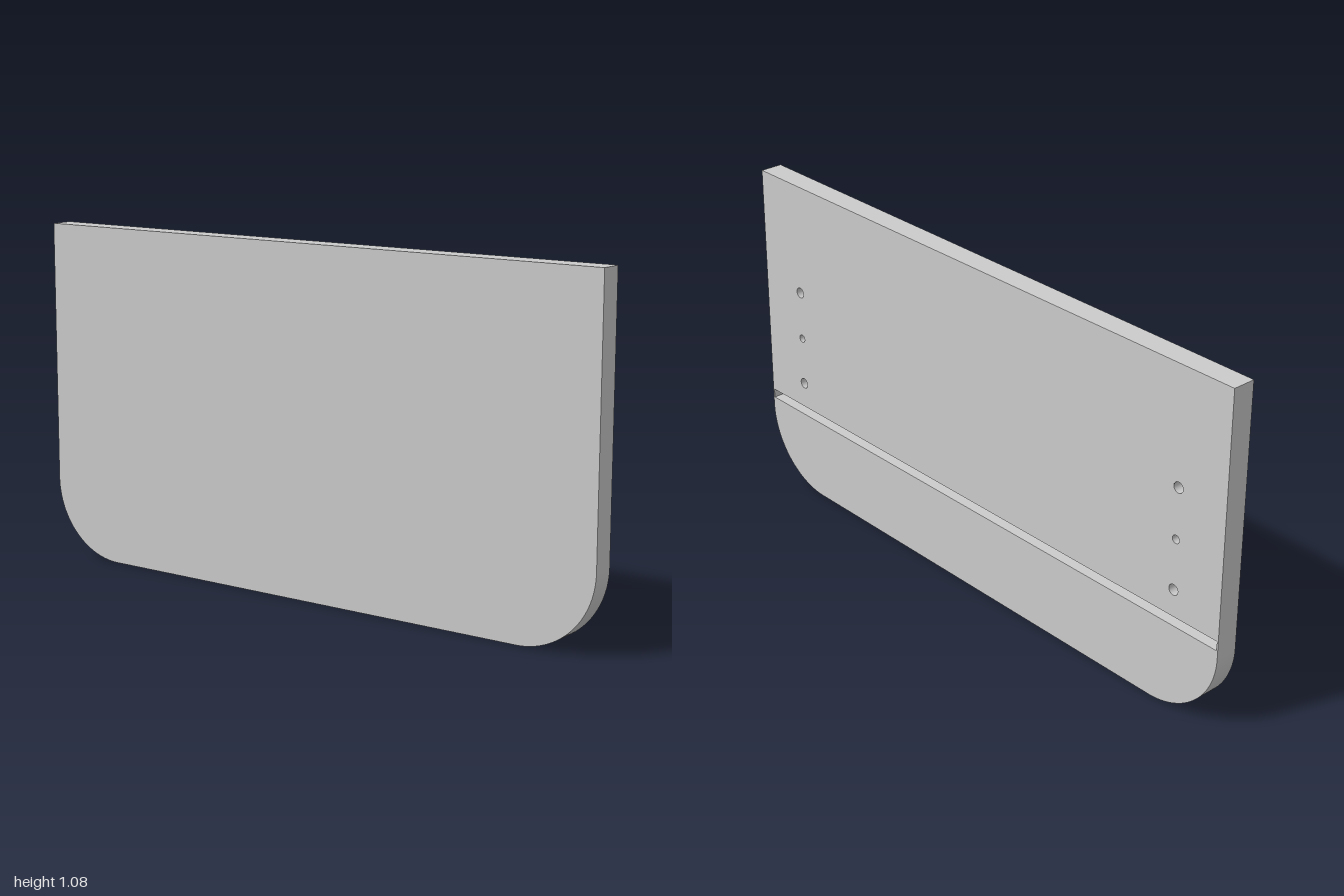
import * as THREE from 'three';
import { toCreasedNormals } from 'three/addons/utils/BufferGeometryUtils.js';

const H = 1.08, T = 0.073, R = 0.25;                          // panel height, thickness, corner radius
const groove = { y: 0.289, h: 0.03, w: 1.99, depth: 0.035 };
const holeDepth = 0.05;
const holes = [-1, 1].flatMap(s => [
  { x: 0.827 * s, y: 0.714, r: 0.017 },
  { x: 0.827 * s, y: 0.552, r: 0.013 },
  { x: 0.827 * s, y: 0.39, r: 0.017 },
]);

// Rectangle with rounded lower corners
function outline() {
  const s = new THREE.Shape();
  s.moveTo(-1 + R, 0);
  s.lineTo(1 - R, 0);
  s.absarc(1 - R, R, R, -Math.PI / 2, 0, false);
  s.lineTo(1, H);
  s.lineTo(-1, H);
  s.lineTo(-1, R);
  s.absarc(-1 + R, R, R, Math.PI, Math.PI * 1.5, false);
  return s;
}

export function createModel() {
  const group = new THREE.Group();
  const solid = new THREE.MeshStandardMaterial({ color: 0xcccccc });
  const inner = new THREE.MeshStandardMaterial({ color: 0xcccccc, side: THREE.DoubleSide });
  const add = (name, geometry, material = solid) => {
    const mesh = new THREE.Mesh(geometry, material);
    mesh.name = name;
    group.add(mesh);
    return mesh;
  };

  // Front face
  add('frontFace', new THREE.ShapeGeometry(outline(), 32).translate(0, 0, T / 2));

  // Edge band: the side walls of the extruded outline, without its caps
  const block = new THREE.ExtrudeGeometry(outline(), { depth: T, bevelEnabled: false, curveSegments: 32 });
  const { start, count } = block.groups[1];
  const edge = new THREE.BufferGeometry();
  const sides = block.attributes.position.array.slice(start * 3, (start + count) * 3);
  edge.setAttribute('position', new THREE.BufferAttribute(sides, 3));
  edge.translate(0, 0, -T / 2);
  add('edgeBand', toCreasedNormals(edge, 0.5));

  // Back face, pierced by the groove and the dowel holes (symmetric, so it can be turned round)
  const back = outline();
  const x = groove.w / 2, y0 = groove.y - groove.h / 2, y1 = groove.y + groove.h / 2;
  back.holes.push(new THREE.Path([[-x, y0], [-x, y1], [x, y1], [x, y0]].map(p => new THREE.Vector2(...p))));
  for (const h of holes) back.holes.push(new THREE.Path().absarc(h.x, h.y, h.r, 0, Math.PI * 2, true));
  add('backFace', new THREE.ShapeGeometry(back, 32).rotateY(Math.PI).translate(0, 0, -T / 2));

  // Groove: box interior with its rear side left open
  const slot = new THREE.BoxGeometry(groove.w, groove.h, groove.depth);
  slot.setIndex(Array.from(slot.index.array).slice(0, 30));
  slot.clearGroups();
  add('groove', slot, inner).position.set(0, groove.y, -T / 2 + groove.depth / 2);

  // Blind dowel holes: wall and floor
  for (const h of holes) {
    const wall = new THREE.CylinderGeometry(h.r, h.r, holeDepth, 32, 1, true).rotateX(Math.PI / 2);
    add('dowelHoleWall', wall, inner).position.set(h.x, h.y, -T / 2 + holeDepth / 2);
    const floor = new THREE.CircleGeometry(h.r, 32).rotateY(Math.PI);
    add('dowelHoleFloor', floor).position.set(h.x, h.y, -T / 2 + holeDepth);
  }
  return group;
}
